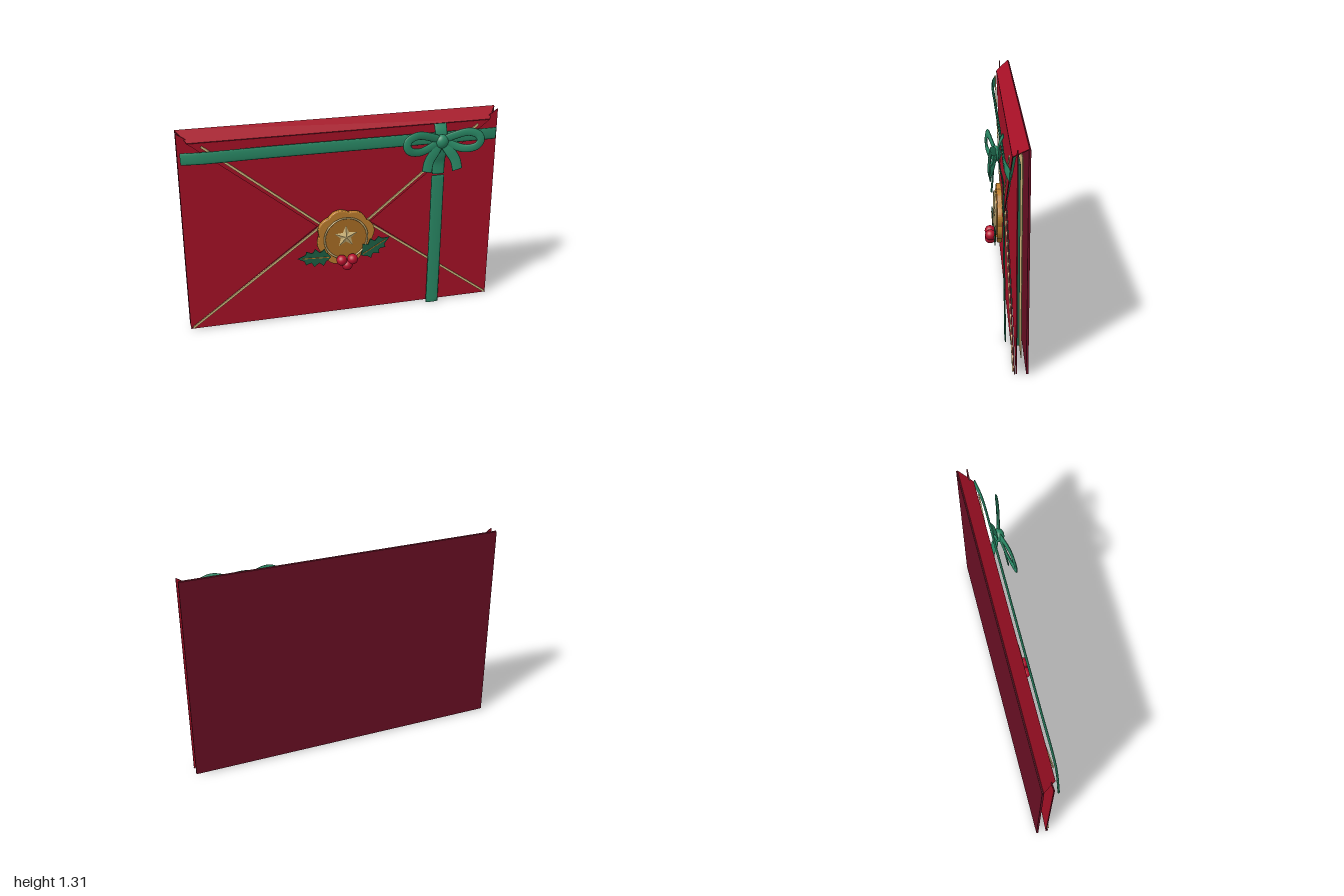
import * as THREE from 'three';

const mat = (name, color) => Object.assign(new THREE.MeshStandardMaterial({ color }), { name });

export function createModel() {
  const red = mat('envelope red', 0xa61026);
  const maroon = mat('back maroon', 0x6a0f24);
  const gold = mat('pale gold', 0xd2b97c);
  const ribbon = mat('ribbon green', 0x2a8a66);
  const holly = mat('holly green', 0x1d5f43);
  const wax = mat('seal wax', 0xbb7d2e);
  const waxDark = mat('seal centre', 0xa86c25);
  const berry = mat('berry red', 0xb30f2c);
  const model = new THREE.Group();

  const add = (name, geo, material, x = 0, y = 0, z = 0, parent = model) => {
    const m = new THREE.Mesh(geo, material);
    m.name = name;
    m.position.set(x, y, z);
    parent.add(m);
    return m;
  };
  // Flat plate cut from 2D points; faces use one colour and the cut edge another
  const plate = (pts, depth) => new THREE.ExtrudeGeometry(
    new THREE.Shape(pts.map(p => new THREE.Vector2(p[0], p[1]))), { depth, bevelEnabled: false });

  // Flattened oval band swept along a path, its broad side facing forwards
  const band = (pts, width, thick, closed = false, steps = 40) => {
    const curve = new THREE.CatmullRomCurve3(pts.map(p => new THREE.Vector3(...p)), closed);
    const K = 14, pos = [], idx = [], front = new THREE.Vector3(0, 0, 1);
    for (let i = 0; i <= steps; i++) {
      const c = curve.getPoint(i / steps), t = curve.getTangent(i / steps);
      const side = new THREE.Vector3().crossVectors(t, front).normalize();
      const nrm = new THREE.Vector3().crossVectors(side, t);
      for (let j = 0; j < K; j++) {
        const a = j / K * Math.PI * 2;
        const p = c.clone().addScaledVector(side, Math.cos(a) * width / 2)
          .addScaledVector(nrm, Math.sin(a) * thick / 2);
        pos.push(p.x, p.y, p.z);
      }
    }
    for (let i = 0; i < steps; i++) for (let j = 0; j < K; j++) {
      const k = (j + 1) % K, a = i * K + j, b = i * K + k;
      idx.push(a, a + K, b, b, a + K, b + K);
    }
    // End caps
    if (!closed) for (let j = 1; j < K - 1; j++) {
      const e = steps * K;
      idx.push(0, j, j + 1, e, e + j + 1, e + j);
    }
    const g = new THREE.BufferGeometry();
    g.setAttribute('position', new THREE.Float32BufferAttribute(pos, 3));
    g.setIndex(idx);
    g.computeVertexNormals();
    return g;
  };

  // Back panel and the cards inside
  add('backPanel', new THREE.BoxGeometry(2, 1.3, 0.012), maroon, 0, 0.66, -0.1);
  add('goldCard', new THREE.BoxGeometry(1.86, 1.17, 0.005), gold, 0, 0.655, -0.07);
  add('greenCard', new THREE.BoxGeometry(1.76, 1.07, 0.014), holly, 0, 0.655, -0.056);

  // Front flaps
  for (const s of [1, -1]) {
    const pts = [[s, 0.01], [s, 1.31], [s * 0.06, 0.66]];
    add(s > 0 ? 'leftFlap' : 'rightFlap', plate(pts, 0.007), [red, maroon], 0, 0, -0.043);
  }
  add('bottomFlap', plate([[-1, 0.01], [1, 0.01], [0, 0.76]], 0.006), [red, maroon], 0, 0, -0.033);
  add('topFlap', plate([[-0.94, 1.25], [0, 0.5], [0.94, 1.25]], 0.006), [red, maroon], 0, 0, -0.02);
  const fold = add('topFlapFold', plate([[-1, 0], [-0.94, -0.102], [0.94, -0.102], [1, 0]], 0.005),
    [red, maroon], 0, 1.31, -0.1);
  fold.rotation.x = -0.939;

  // Gold trim along the flap edges
  const trim = (name, x1, y1, x2, y2, z) => {
    const g = new THREE.BoxGeometry(Math.hypot(x2 - x1, y2 - y1), 0.014, 0.007);
    add(name, g, gold, (x1 + x2) / 2, (y1 + y2) / 2, z).rotation.z = Math.atan2(y2 - y1, x2 - x1);
  };
  for (const s of [1, -1]) {
    trim('topTrim', s * 0.86, 1.23, 0, 0.53, -0.004);
    trim('bottomTrim', s * 0.985, 0.02, s * 0.1, 0.67, -0.021);
  }

  // Ribbons across the front
  add('horizontalRibbon', band([[-0.985, 1.163, -0.005], [-0.86, 1.166, 0.015], [-0.5, 1.17, 0.017],
    [0, 1.17, 0.017], [0.5, 1.17, 0.017], [0.86, 1.168, 0.015], [0.98, 1.163, -0.002]], 0.076, 0.012), ribbon);
  add('verticalRibbon', band([[0.602, 0.92, 0.012], [0.602, 0.5, 0.008], [0.602, 0.003, 0.001]], 0.085, 0.01), ribbon);
  add('upperRibbon', band([[0.602, 1.262, 0.014], [0.602, 1.215, 0.035], [0.602, 1.14, 0.04],
    [0.602, 1.06, 0.03], [0.602, 1, 0.016], [0.602, 0.93, 0.014]], 0.08, 0.009), ribbon);

  // Bow: mirrored loops and tails around a knot
  const bow = new THREE.Group();
  bow.name = 'bow';
  bow.position.set(0.602, 1.16, 0);
  model.add(bow);
  for (const s of [1, -1]) {
    const loop = [[0.02, 0.005, 0.058], [0.09, 0.042, 0.075], [0.17, 0.058, 0.09], [0.225, 0.035, 0.097],
      [0.238, 0, 0.1], [0.215, -0.035, 0.097], [0.15, -0.05, 0.084], [0.08, -0.032, 0.068]];
    add('bowLoop', band(loop.map(p => [p[0] * s, p[1], p[2]]), 0.052, 0.016, true, 64), ribbon, 0, 0, 0, bow);
    const tail = [[0.015, -0.01, 0.058], [0.05, -0.065, 0.07], [0.085, -0.12, 0.076], [0.1, -0.185, 0.083]];
    add('bowTail', band(tail.map(p => [p[0] * s, p[1], p[2]]), 0.066, 0.01), ribbon, 0, 0, 0, bow);
  }
  add('bowKnot', new THREE.SphereGeometry(0.042, 24, 16), ribbon, 0, -0.002, 0.056, bow).scale.set(1, 1.05, 0.75);

  // Wax seal with a wavy rim
  const rim = [];
  for (let i = 0; i < 96; i++) {
    const a = i / 96 * Math.PI * 2;
    const r = 0.166 + 0.016 * Math.abs(Math.sin(4 * a + 0.5)) + 0.004 * Math.sin(3 * a + 1);
    rim.push(new THREE.Vector2(Math.cos(a) * r, Math.sin(a) * r));
  }
  const sealGeo = new THREE.ExtrudeGeometry(new THREE.Shape(rim),
    { depth: 0.018, bevelSize: 0.007, bevelThickness: 0.007, bevelSegments: 3 });
  add('waxSeal', sealGeo, wax, 0, 0.56, 0.002);
  add('sealCentre', new THREE.CylinderGeometry(0.138, 0.138, 0.008, 48).rotateX(Math.PI / 2), waxDark, 0, 0.56, 0.028);
  add('sealRing', new THREE.TorusGeometry(0.138, 0.006, 8, 64), gold, 0, 0.56, 0.037);

  // Faceted five-point star
  let star = new THREE.ConeGeometry(0.088, 0.016, 10, 1);
  const sp = star.attributes.position;
  for (let i = 0; i < sp.count; i++) {
    const x = sp.getX(i), z = sp.getZ(i);
    if (sp.getY(i) < 0 && Math.round(Math.atan2(x, z) / (Math.PI / 5)) % 2 === 0)
      sp.setXYZ(i, x * 0.45, sp.getY(i), z * 0.45);
  }
  star = star.toNonIndexed().rotateX(Math.PI / 2);
  star.computeVertexNormals();
  add('sealStar', star, gold, 0, 0.57, 0.038);

  // Holly leaves with a midrib
  const edge = [[0.03, 0.03], [0.045, 0.058], [0.075, 0.036], [0.105, 0.062], [0.125, 0.033],
    [0.16, 0.046], [0.172, 0.02]];
  const outline = new THREE.Shape();
  outline.moveTo(0, 0);
  const spine = (p, i, sign) => i % 2 ? outline.lineTo(p[0], sign * p[1])
    : outline.quadraticCurveTo(p[0] - 0.008, sign * p[1] * 0.95, p[0], sign * p[1]);
  edge.forEach((p, i) => spine(p, i, -1));
  outline.lineTo(0.215, 0);
  [...edge].reverse().forEach((p, i) => outline.lineTo(p[0], p[1]));
  outline.lineTo(0, 0);
  const leafGeo = new THREE.ExtrudeGeometry(outline, { depth: 0.006, bevelEnabled: false });
  for (const [name, x, y, angle] of [['rightLeaf', -0.1, 0.445, Math.PI - 0.05], ['leftLeaf', 0.095, 0.435, 0.52]]) {
    const g = new THREE.Group();
    g.name = name;
    g.position.set(x, y, 0.04);
    g.rotation.z = angle;
    model.add(g);
    add('leafBlade', leafGeo, holly, 0, 0, 0, g);
    add('leafMidrib', new THREE.BoxGeometry(0.17, 0.005, 0.004), wax, 0.1, 0, 0.007, g);
  }

  // Berries
  for (const [x, y] of [[-0.035, 0.425], [0.035, 0.425], [0, 0.388]])
    add('berry', new THREE.SphereGeometry(0.034, 24, 16), berry, x, y, 0.066);

  return model;
}
